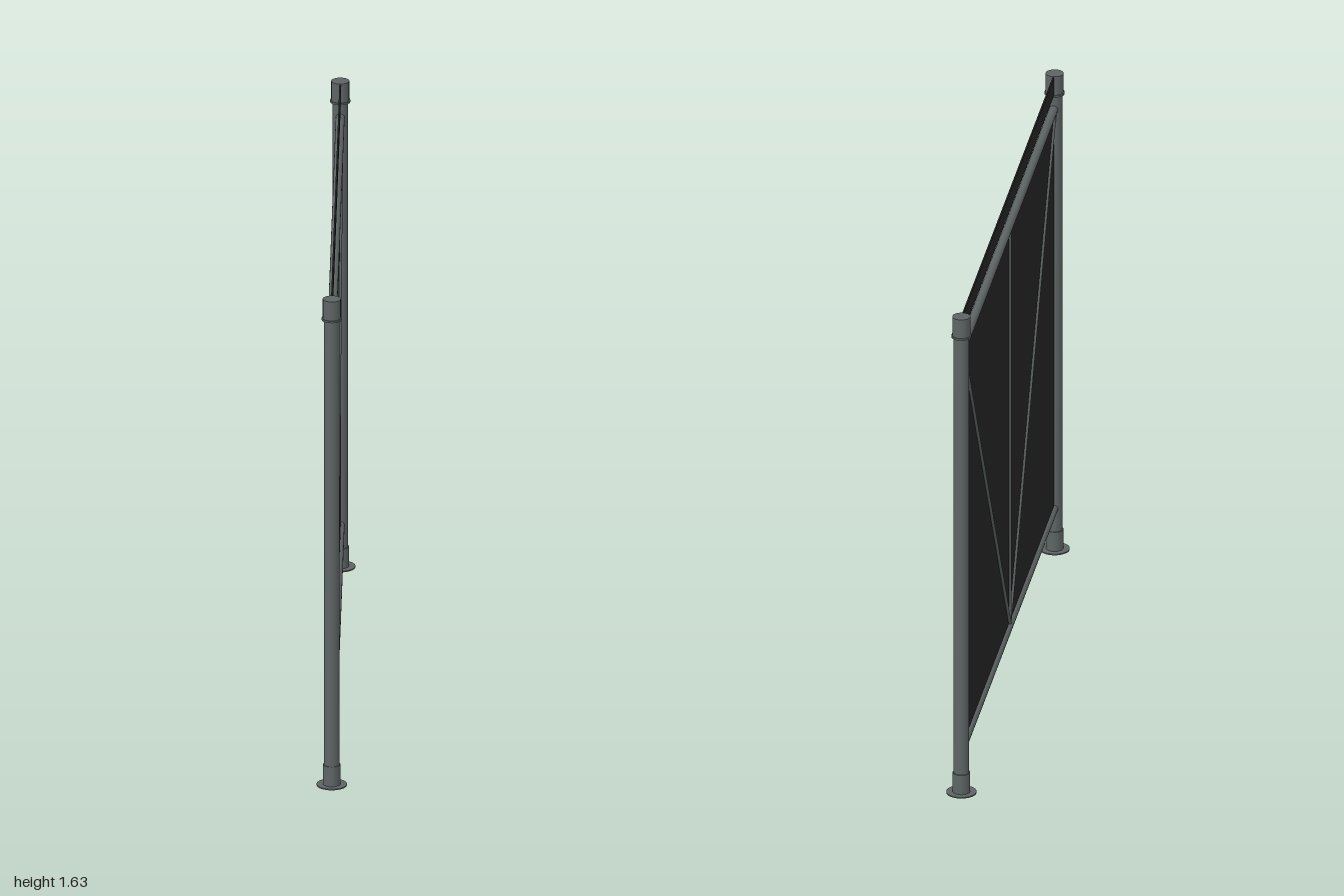
import * as THREE from 'three';

export function createModel() {
  const root = new THREE.Group();
  root.name = 'fencePanel';
  const steel = new THREE.MeshStandardMaterial({ color: 0x5e6464 });
  steel.name = 'grey steel';
  const dark = new THREE.MeshStandardMaterial({ color: 0x252525 });
  dark.name = 'dark sheet';

  const postZ = 0.952;
  const midZ = 0.01;

  // Round bar between two points [y, z] in the plane x = 0
  function bar(name, [y0, z0], [y1, z1], radius) {
    const a = new THREE.Vector3(0, y0, z0);
    const b = new THREE.Vector3(0, y1, z1);
    const dir = b.clone().sub(a);
    const mesh = new THREE.Mesh(new THREE.CylinderGeometry(radius, radius, dir.length(), 20), steel);
    mesh.position.copy(a).add(b).multiplyScalar(0.5);
    mesh.quaternion.setFromUnitVectors(new THREE.Vector3(0, 1, 0), dir.normalize());
    mesh.name = name;
    root.add(mesh);
  }

  // Thin sheet spanning the frame
  function sheet(name, y0, y1) {
    const mesh = new THREE.Mesh(new THREE.BoxGeometry(0.005, y1 - y0, 2 * postZ - 0.04), dark);
    mesh.position.y = (y0 + y1) / 2;
    mesh.name = name;
    root.add(mesh);
  }

  // Posts with foot flange, foot sleeve, top collar and its lip
  for (const [side, s] of [['front', 1], ['back', -1]]) {
    const z = s * postZ;
    bar(side + 'Post', [0.002, z], [1.6, z], 0.0245);
    bar(side + 'FootFlange', [0, z], [0.004, z], 0.048);
    bar(side + 'FootSleeve', [0.003, z], [0.07, z], 0.0275);
    bar(side + 'TopCollar', [1.57, z], [1.635, z], 0.0285);
    bar(side + 'CollarLip', [1.565, z], [1.571, z], 0.032);
    // Diagonal brace down to the middle of the bottom rail
    bar(side + 'Brace', [1.51, s * 0.932], [0.16, midZ], 0.0095);
  }

  // Rails and centre upright
  bar('topRail', [1.519, -postZ], [1.519, postZ], 0.014);
  bar('bottomRail', [0.148, -postZ], [0.148, postZ], 0.014);
  bar('centreUpright', [0.15, midZ], [1.515, midZ], 0.0095);

  // Infill sheet and the upper strip
  sheet('infillSheet', 0.15, 1.515);
  sheet('topStrip', 1.57, 1.632);

  return root;
}
